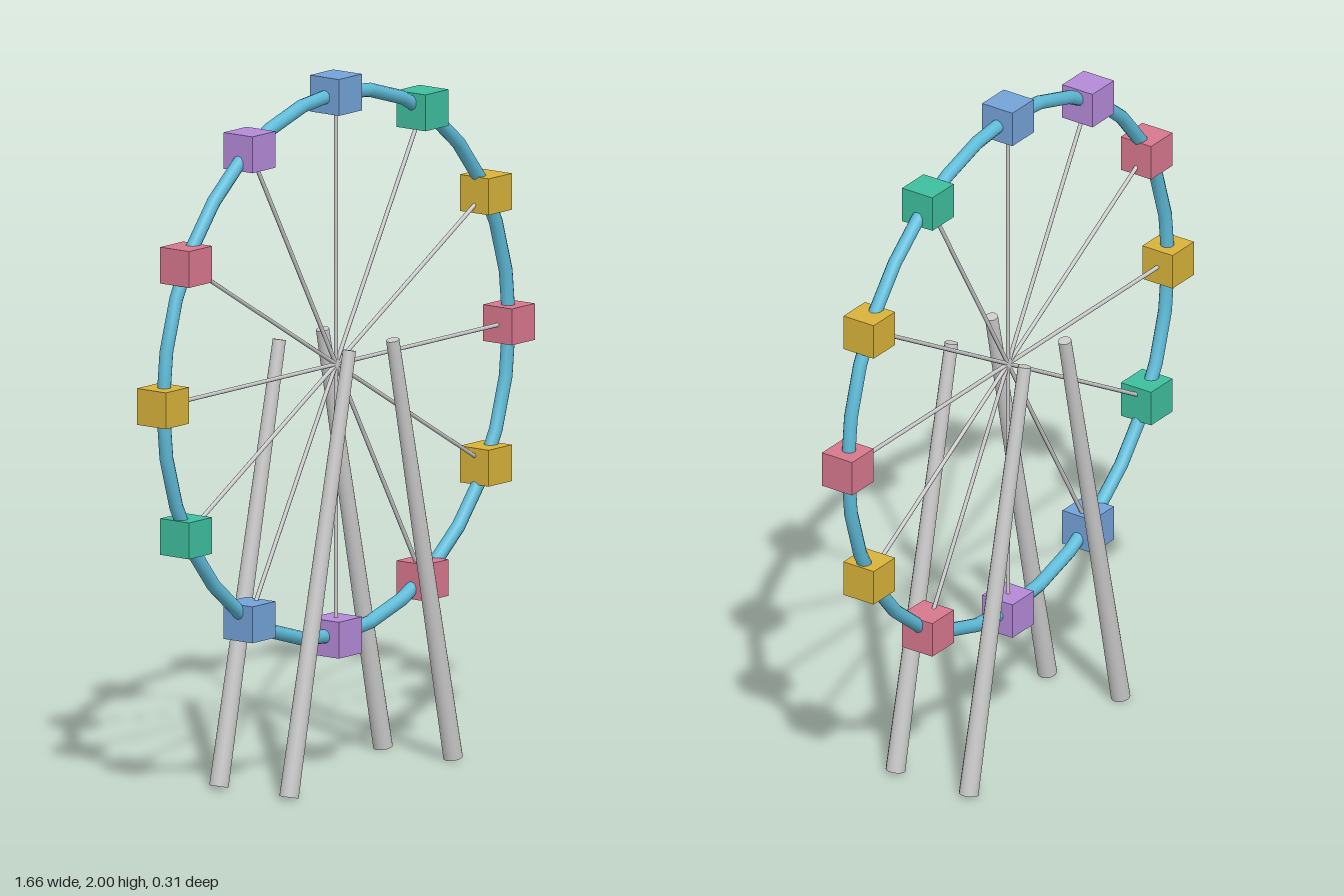
import * as THREE from 'three';

const HUB_Y = 1.172, RADIUS = 0.776, CABIN = 0.104, COUNT = 12;

const paint = (color) => new THREE.MeshStandardMaterial({ color });

// Tapered round bar running from a to b
function bar(name, a, b, radiusA, radiusB, sides, material) {
  const dir = b.clone().sub(a);
  const mesh = new THREE.Mesh(new THREE.CylinderGeometry(radiusB, radiusA, dir.length(), sides), material);
  mesh.position.copy(a).add(b).multiplyScalar(0.5);
  mesh.quaternion.setFromUnitVectors(new THREE.Vector3(0, 1, 0), dir.normalize());
  mesh.name = name;
  return mesh;
}

export function createModel() {
  const model = new THREE.Group();
  model.name = 'ferrisWheel';
  const grey = paint(0xcccccc);

  // Wheel: rim, spokes and cabins around the hub
  const wheel = new THREE.Group();
  wheel.name = 'wheel';
  wheel.position.y = HUB_Y;
  model.add(wheel);

  const rim = new THREE.Mesh(new THREE.TorusGeometry(RADIUS, 0.02, 10, 32), paint(0x5fbcd9));
  rim.name = 'rim';
  wheel.add(rim);

  const cabinColors = [0xd9788f, 0xd9b33a, 0x3fbf9f, 0x74a3d9, 0xb58ad9].map(paint);
  const cabinGeometry = new THREE.BoxGeometry(CABIN, CABIN, CABIN);
  for (let i = 0; i < COUNT; i++) {
    const angle = (i / COUNT) * Math.PI * 2;
    const end = new THREE.Vector3(Math.cos(angle) * RADIUS, Math.sin(angle) * RADIUS, 0);
    wheel.add(bar('spoke', new THREE.Vector3(), end, 0.006, 0.006, 8, grey));

    // Cabins stay upright; colours repeat every five
    const cabin = new THREE.Mesh(cabinGeometry, cabinColors[i % 5]);
    cabin.name = 'cabin';
    cabin.position.copy(end);
    wheel.add(cabin);
  }

  // Four leaning support legs, a pair in front and a pair behind
  for (const x of [-1, 1]) {
    for (const z of [-0.126, 0.126]) {
      const foot = new THREE.Vector3(x * 0.368, 0.006, z);
      const top = new THREE.Vector3(x * 0.097, 1.242, z);
      model.add(bar('supportLeg', foot, top, 0.028, 0.019, 14, grey));
    }
  }
  return model;
}
